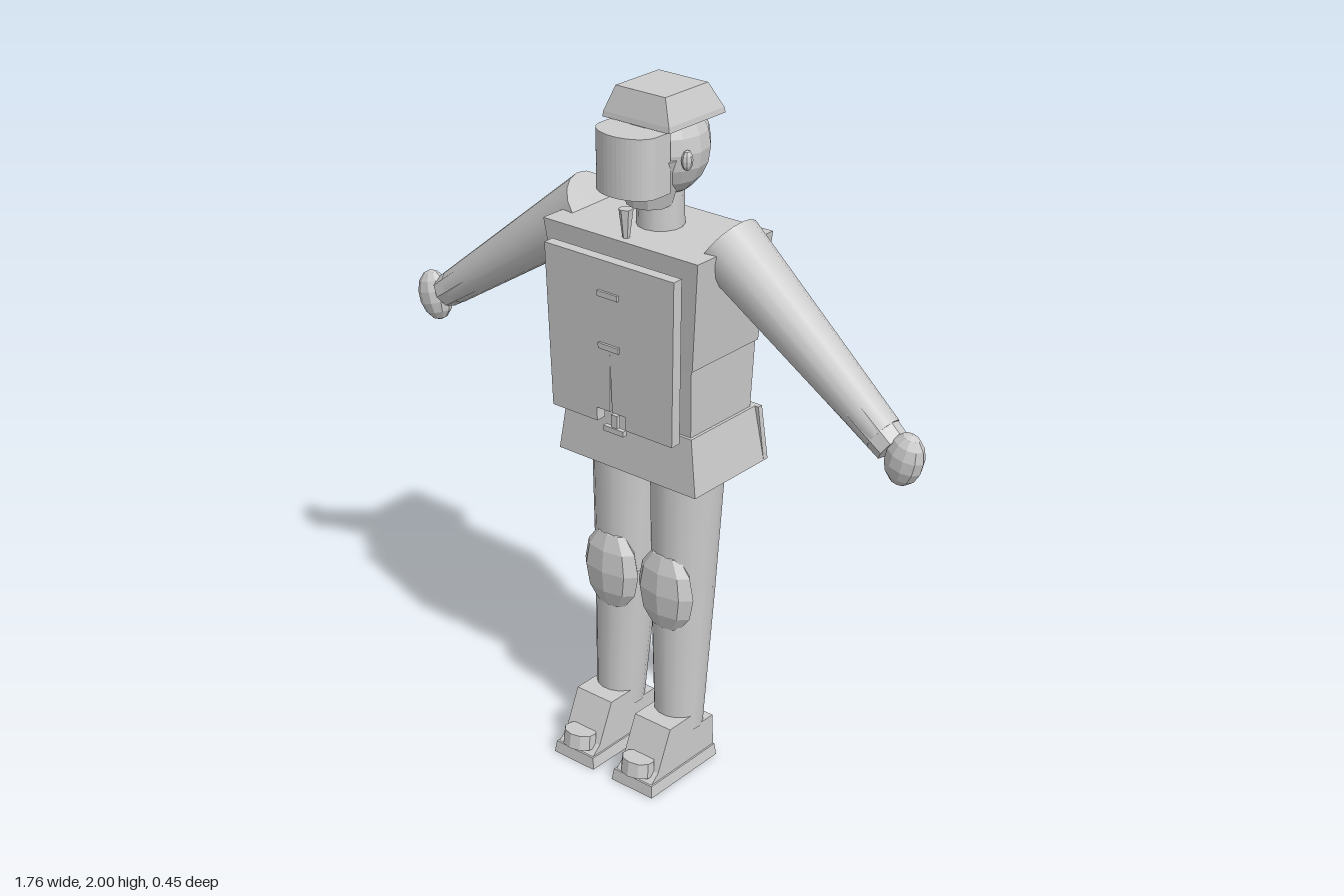
import * as THREE from 'three';

const grey = new THREE.MeshStandardMaterial({ color: 0xcccccc });

// Faceted copy of a geometry
function facet(geo) {
  const g = geo.index ? geo.toNonIndexed() : geo;
  g.computeVertexNormals();
  return g;
}

// Block lofted through rectangles [y, halfWidth, zFront, zBack], bottom to top
function loft(levels, cx = 0) {
  const rings = levels.map(([y, w, f, b]) => [
    [cx - w, y, f], [cx + w, y, f], [cx + w, y, b], [cx - w, y, b]]);
  const p = [];
  const quad = (a, b, c, d) => p.push(...a, ...b, ...c, ...a, ...c, ...d);
  for (let i = 0; i + 1 < rings.length; i++) {
    for (let k = 0; k < 4; k++) {
      const n = (k + 1) % 4;
      quad(rings[i][k], rings[i][n], rings[i + 1][n], rings[i + 1][k]);
    }
  }
  const bottom = rings[0], top = rings[rings.length - 1];
  quad(...top);
  quad(bottom[3], bottom[2], bottom[1], bottom[0]);
  const g = new THREE.BufferGeometry();
  g.setAttribute('position', new THREE.Float32BufferAttribute(p, 3));
  g.computeVertexNormals();
  return g;
}

// Tapered limb from a (radius ra) to b (radius rb)
function limb(a, b, ra, rb, sides = 16) {
  const A = new THREE.Vector3(...a), B = new THREE.Vector3(...b);
  const dir = B.clone().sub(A);
  const g = new THREE.CylinderGeometry(rb, ra, dir.length(), sides);
  g.applyQuaternion(new THREE.Quaternion().setFromUnitVectors(
    new THREE.Vector3(0, 1, 0), dir.clone().normalize()));
  const m = A.add(B).multiplyScalar(0.5);
  return g.translate(m.x, m.y, m.z);
}

// Faceted ellipsoid
function ellipsoid(rx, ry, rz, w = 12, h = 8) {
  return facet(new THREE.SphereGeometry(1, w, h).scale(rx, ry, rz));
}

export function createModel() {
  const model = new THREE.Group();
  const add = (name, geo, x = 0, y = 0, z = 0) => {
    const m = new THREE.Mesh(geo, grey);
    m.name = name;
    m.position.set(x, y, z);
    model.add(m);
    return m;
  };

  // Head, jaw and neck
  add('head', ellipsoid(0.125, 0.14, 0.127, 14, 10), 0, 1.84, -0.063);
  add('jaw', facet(new THREE.CylinderGeometry(0.105, 0.062, 0.14, 10)), 0, 1.76, -0.005);
  add('neck', new THREE.CylinderGeometry(0.062, 0.066, 0.16, 14), 0, 1.68, -0.05);
  add('cap', loft([
    [1.915, 0.112, 0.052, -0.178],
    [1.93, 0.11, 0.05, -0.175],
    [2.0, 0.083, 0.032, -0.14]]));

  // Rounded face mask with a flat back
  const arc = new THREE.Shape();
  arc.moveTo(-0.095, 0.025);
  arc.lineTo(0.095, 0.025);
  arc.lineTo(0.095, 0.08);
  arc.absellipse(0, 0.08, 0.095, 0.065, 0, Math.PI, false);
  arc.closePath();
  const mask = new THREE.ExtrudeGeometry(arc, { depth: 0.165, bevelEnabled: false, curveSegments: 10 });
  add('faceMask', mask.rotateX(Math.PI / 2), 0, 1.91, 0);
  add('throatTube', facet(new THREE.CylinderGeometry(0.02, 0.01, 0.08, 6)), 0, 1.66, 0.09);

  // Torso and skirt, the skirt split at the back
  add('lowerTorso', loft([[1.08, 0.21, 0.075, -0.18], [1.3, 0.222, 0.09, -0.182]]));
  add('upperTorso', loft([[1.3, 0.225, 0.09, -0.19], [1.62, 0.264, 0.12, -0.193]]));
  add('skirt', loft([[0.935, 0.243, 0.095, -0.205], [1.1, 0.22, 0.085, -0.19]]));
  for (const s of [-1, 1]) {
    add('skirtBackPanel', loft([
      [0.935, 0.119, -0.205, -0.223], [1.1, 0.108, -0.19, -0.206]], s * 0.124));
  }

  // Chest plate with a bottom notch and centre slit
  const plate = new THREE.Shape([
    [-0.21, 0], [-0.05, 0], [-0.05, 0.04], [-0.004, 0.04], [0, 0.21], [0.004, 0.04],
    [0.05, 0.04], [0.05, 0], [0.21, 0], [0.222, 0.475], [-0.222, 0.475],
  ].map(([x, y]) => new THREE.Vector2(x, y)));
  const plateGeo = new THREE.ExtrudeGeometry(plate, { depth: 0.032, bevelEnabled: false });
  add('chestPlate', plateGeo.rotateX(0.02), 0, 1.1, 0.122);
  for (const [y, z] of [[1.48, 0.162], [1.33, 0.159], [1.08, 0.14]]) {
    add('buckle', new THREE.BoxGeometry(0.07, 0.016, 0.014), 0, y, z);
  }
  add('buckleTab', new THREE.BoxGeometry(0.02, 0.04, 0.012), 0, 1.105, 0.137);

  // Side profile of a boot, as [z, y]
  const bootShape = new THREE.Shape([
    [0.2, 0.03], [0.165, 0.06], [0.112, 0.18], [0.015, 0.18], [0.0, 0.135],
    [-0.08, 0.135], [-0.085, 0.03],
  ].map(([z, y]) => new THREE.Vector2(z, y)));

  for (const s of [-1, 1]) {
    // Ear
    add('ear', ellipsoid(0.014, 0.028, 0.018, 8, 6), s * 0.12, 1.83, -0.012);

    // Arm, cuff and hand
    add('arm', limb([s * 0.23, 1.622, -0.045], [s * 0.75, 1.247, -0.027], 0.093, 0.052));
    add('cuff', facet(limb([s * 0.67, 1.304, -0.03], [s * 0.785, 1.222, -0.022], 0.058, 0.048, 8)));
    const hand = add('hand', ellipsoid(0.055, 0.076, 0.042, 10, 7), s * 0.826, 1.203, -0.015);
    hand.rotation.z = s * -0.25;

    // Leg and knee pad
    add('thigh', limb([s * 0.105, 1.0, -0.045], [s * 0.103, 0.58, -0.03], 0.107, 0.092));
    add('shin', limb([s * 0.103, 0.58, -0.03], [s * 0.11, 0.13, -0.005], 0.092, 0.07));
    add('kneePad', ellipsoid(0.099, 0.13, 0.042, 8, 6), s * 0.1, 0.58, 0.043);

    // Boot with sole and toe cap
    const boot = new THREE.ExtrudeGeometry(bootShape, { depth: 0.13, bevelEnabled: false });
    add('boot', boot.rotateY(-Math.PI / 2), s * 0.11 + 0.065, 0, 0);
    add('sole', loft([[0, 0.075, 0.205, -0.087], [0.035, 0.07, 0.2, -0.085]], s * 0.11));
    const toe = facet(new THREE.CylinderGeometry(0.05, 0.052, 0.045, 10).scale(1, 1, 0.85));
    add('toeCap', toe, s * 0.11, 0.07, 0.177).rotation.x = -0.12;
  }
  return model;
}
